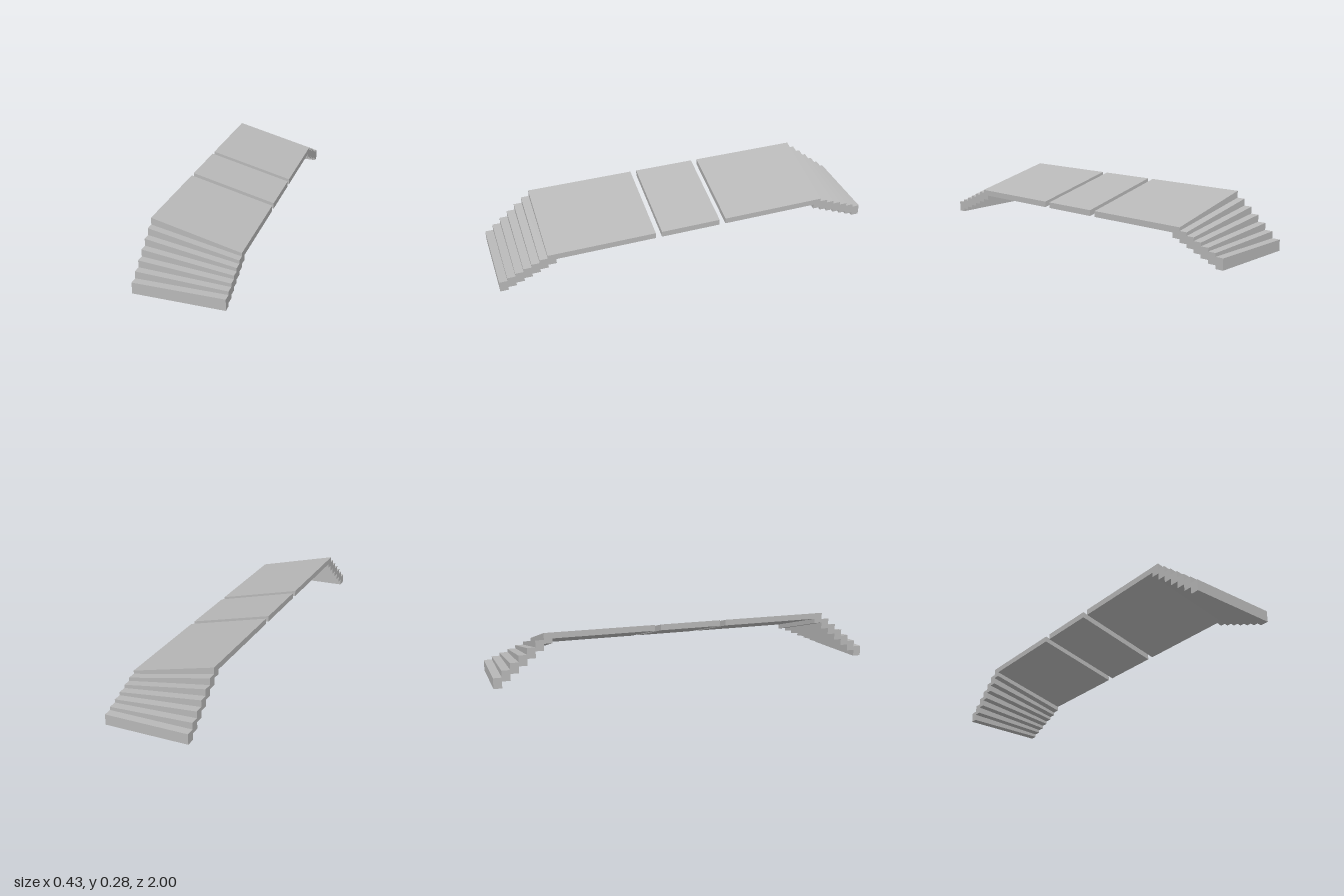
import * as THREE from 'three';

const HALF_W = 0.215;

// Box spanning x0..x1 and z0..z1 whose top and bottom slope across x.
// topAt and bottomAt give the height at a given x.
function slopedSlab(name, x0, x1, z0, z1, topAt, bottomAt, material) {
  const box = new THREE.BoxGeometry(x1 - x0, 1, z1 - z0);
  box.translate((x0 + x1) / 2, 0, (z0 + z1) / 2);
  const p = box.attributes.position;
  for (let i = 0; i < p.count; i++) {
    const x = p.getX(i);
    p.setY(i, p.getY(i) > 0 ? topAt(x) : bottomAt(x));
  }
  const geometry = box.toNonIndexed();
  geometry.computeVertexNormals();
  const mesh = new THREE.Mesh(geometry, material);
  mesh.name = name;
  return mesh;
}

// Straight line from the right edge (-x) height to the left edge (+x) height
const slope = (right, left) => (x) => right + (left - right) * (x + HALF_W) / (2 * HALF_W);

export function createModel() {
  const model = new THREE.Group();
  model.name = 'slopedWalkway';
  const concrete = new THREE.MeshStandardMaterial({ color: 0xb8b8b8 });
  concrete.name = 'concrete grey';

  const STEPS = 7, DEPTH = 0.0415, PLANKS = 5;
  const stairEnd = 1 - STEPS * DEPTH;

  // Deck sections, each made of five planks side by side
  const deckTop = slope(0.275, 0.155), deckBottom = slope(0.245, 0.125);
  const decks = [
    ['frontDeck', 0.192, stairEnd],
    ['middleDeck', -0.159, 0.159],
    ['backDeck', -stairEnd, -0.192],
  ];
  for (const [name, z0, z1] of decks) {
    const deck = new THREE.Group();
    deck.name = name;
    const w = 2 * HALF_W / PLANKS;
    for (let i = 0; i < PLANKS; i++) {
      const x0 = -HALF_W + i * w;
      deck.add(slopedSlab('plank', x0, x0 + w, z0, z1, deckTop, deckBottom, concrete));
    }
    model.add(deck);
  }

  // Twisting stairs at both ends: the right edge climbs faster than the left
  for (const side of [1, -1]) {
    const stairs = new THREE.Group();
    stairs.name = side > 0 ? 'frontStairs' : 'backStairs';
    for (let i = 0; i < STEPS; i++) {
      const outer = side * (1 - i * DEPTH), inner = side * (1 - (i + 1) * DEPTH);
      const riseR = i * 0.0338, riseL = i * 0.0167;
      stairs.add(slopedSlab('step', -HALF_W, HALF_W, Math.min(outer, inner), Math.max(outer, inner),
        slope(0.0722 + riseR, 0.0548 + riseL), slope(0.0185 + riseR, riseL), concrete));
    }
    model.add(stairs);
  }
  return model;
}
